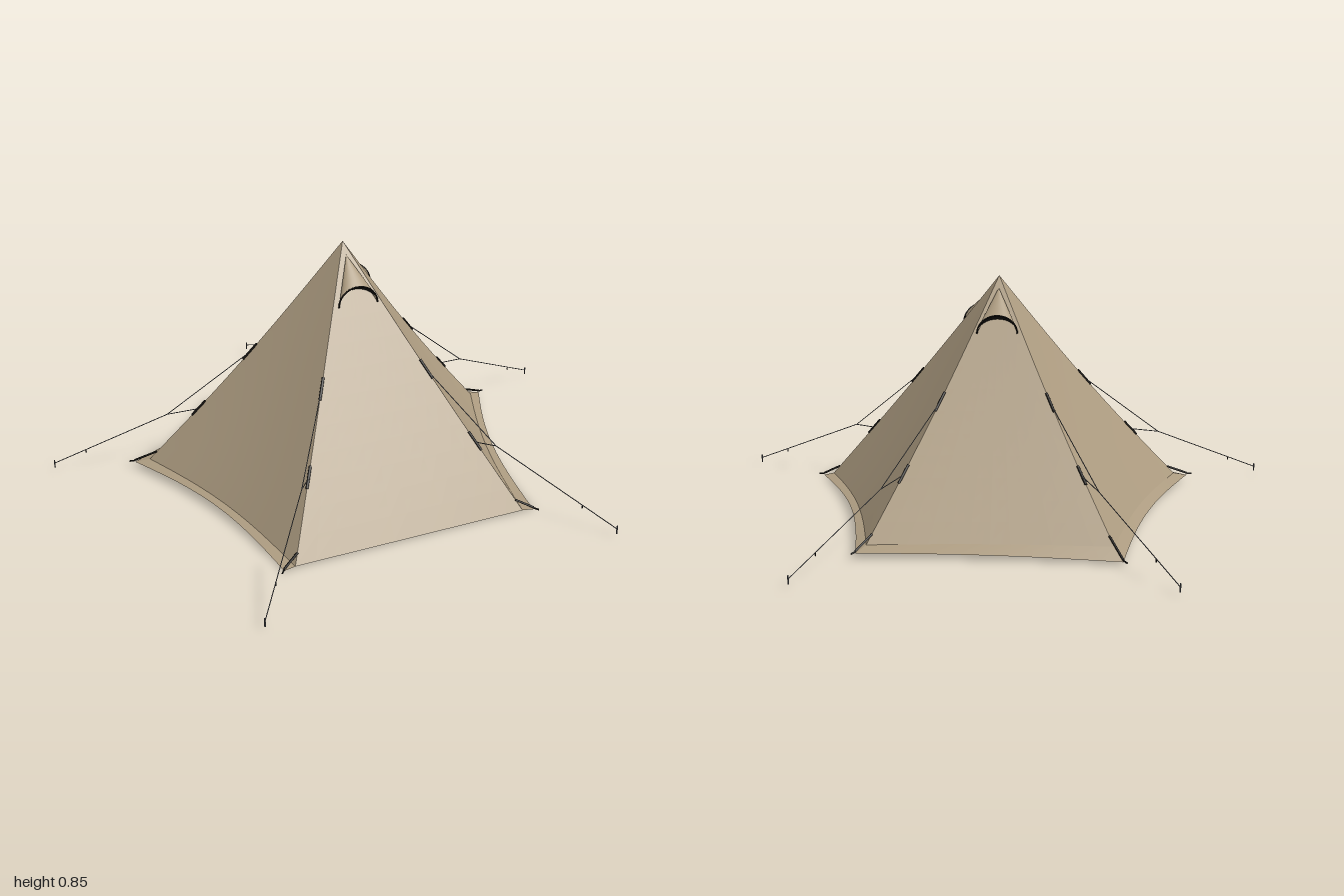
import * as THREE from 'three';

const V = (x, y, z) => new THREE.Vector3(x, y, z);

export function createModel() {
  const tent = new THREE.Group();
  tent.name = 'tent';

  const mat = (name, color, side = THREE.FrontSide) => {
    const m = new THREE.MeshStandardMaterial({ color, side });
    m.name = name;
    return m;
  };
  const canvas = mat('taupe canvas', 0xac9b80, THREE.DoubleSide);
  const lining = mat('brown lining', 0x8a572b);
  const black = mat('black trim', 0x14120f, THREE.DoubleSide);
  const cord = mat('grey cord', 0x5a5c60);

  const add = (name, geometry, material, parent = tent) => {
    const mesh = new THREE.Mesh(geometry, material);
    mesh.name = name;
    parent.add(mesh);
    return mesh;
  };

  // Smooth grid surface: f(u, v) with u left to right and v top to bottom
  const surface = (f, nu, nv, flip = false) => {
    const pos = [], idx = [];
    for (let j = 0; j <= nv; j++)
      for (let i = 0; i <= nu; i++) pos.push(...f(i / nu, j / nv).toArray());
    for (let j = 0; j < nv; j++)
      for (let i = 0; i < nu; i++) {
        const a = j * (nu + 1) + i, b = a + 1, c = a + nu + 1, d = c + 1;
        if (flip) idx.push(a, b, c, b, d, c);
        else idx.push(a, c, b, b, c, d);
      }
    const g = new THREE.BufferGeometry();
    g.setAttribute('position', new THREE.Float32BufferAttribute(pos, 3));
    g.setIndex(idx);
    g.computeVertexNormals();
    return g;
  };

  // Straight rod between two points
  const rod = (name, a, b, r, material, parent = tent) => {
    const dir = b.clone().sub(a);
    const mesh = add(name, new THREE.CylinderGeometry(r, r, dir.length(), 6), material, parent);
    mesh.position.copy(a).lerp(b, 0.5);
    mesh.quaternion.setFromUnitVectors(V(0, 1, 0), dir.normalize());
    return mesh;
  };

  // Five corners: foot of the wall, tip of the skirt, ridge sag, guy knot and peg
  const apex = V(0, 0.85, 0.1);
  const right = [
    { foot: V(0.42, 0.003, 0.685), tip: V(0.46, 0, 0.69), sag: 0.01, knot: V(0.357, 0.22, 0.59), peg: V(0.62, 0.03, 0.945) },
    { foot: V(0.67, 0.032, -0.12), tip: V(0.72, 0.02, -0.14), sag: 0.022, knot: V(0.6, 0.21, -0.1), peg: V(0.995, 0.03, -0.23) },
  ];
  const back = { foot: V(0, 0.045, -0.61), tip: V(0, 0.008, -0.66), sag: 0.025, knot: V(0, 0.21, -0.52), peg: V(0, 0.03, -0.945) };
  const flipX = (p) => V(-p.x, p.y, p.z);
  const mirror = (c) => ({ foot: flipX(c.foot), tip: flipX(c.tip), sag: c.sag, knot: flipX(c.knot), peg: flipX(c.peg) });
  const corners = [...right, back, mirror(right[1]), mirror(right[0])];
  const bows = [0.045, 0.012, 0.035, 0.045, 0];
  const panelNames = ['leftWall', 'backLeftWall', 'backRightWall', 'rightWall', 'frontWall'];

  const ridge = (c, t) => {
    const p = apex.clone().lerp(c.foot, t);
    p.y -= c.sag * Math.sin(Math.PI * t);
    return p;
  };

  // Wall panels with brown lining and a flared skirt
  corners.forEach((a, i) => {
    const b = corners[(i + 1) % 5];
    const edge = b.foot.clone().sub(a.foot).setY(0).normalize();
    const inward = V(-edge.z, 0, edge.x);
    if (inward.dot(a.foot) > 0) inward.negate();
    const bend = (p, u, amount) => {
      const k = Math.sin(Math.PI * u) * amount;
      p.addScaledVector(inward, k);
      p.y += k * 0.25;
      return p;
    };
    const wall = (u, v) => bend(ridge(a, v).lerp(ridge(b, v), u), u, bows[i] * 0.7 * v * v);
    add(panelNames[i], surface(wall, 12, 12), canvas);
    const inside = (u, v) => wall(u, v).addScaledVector(inward, 0.005).add(V(0, -0.004, 0));
    add(panelNames[i] + 'Lining', surface(inside, 12, 12, true), lining);

    if (i < 4) {
      const hem = (u) => bend(a.tip.clone().lerp(b.tip, u), u, bows[i]);
      add(panelNames[i] + 'Skirt', surface((u, v) => wall(u, 1).lerp(hem(u), v), 12, 1), canvas);
    }
  });

  // Scoop vent near the top of a panel
  const addVent = (a, b, name) => {
    const vent = new THREE.Group();
    vent.name = name;
    tent.add(vent);
    const down = a.foot.clone().lerp(b.foot, 0.5).sub(apex).normalize();
    const across = b.foot.clone().sub(a.foot).normalize();
    const out = down.clone().cross(across).normalize();
    const local = (x, s, n) => apex.clone().addScaledVector(across, x).addScaledVector(down, s).addScaledVector(out, n);
    const arch = (u) => {
      const q = Math.PI * (1 - u);
      return local(0.072 * Math.cos(q), 0.175 + 0.055 * (1 - Math.sin(q)), 0.004 + 0.032 * Math.sin(q));
    };
    const top = local(0, 0.05, 0.002);
    add('ventHood', surface((u, v) => top.clone().lerp(arch(u), v), 16, 4), canvas, vent);
    const curve = new THREE.CatmullRomCurve3(Array.from({ length: 13 }, (_, k) => arch(k / 12)));
    add('ventRim', new THREE.TubeGeometry(curve, 24, 0.003, 5), black, vent);
    // Dark mesh set back inside the opening
    const meshEdge = (u) => arch(u).addScaledVector(out, -0.03 * Math.sin(Math.PI * u));
    add('ventMesh', surface((u, v) => arch(u).lerp(meshEdge(u), v), 16, 1), black, vent);
  };
  addVent(corners[4], corners[0], 'frontVent');
  addVent(corners[1], corners[2], 'backVent');

  // Centre pole
  rod('centrePole', V(0, 0, 0.1), V(0, 0.84, 0.1), 0.007, black);

  // Ridge patches, guy lines, pegs and corner straps
  corners.forEach((c) => {
    const guy = new THREE.Group();
    guy.name = 'guyLine';
    tent.add(guy);
    for (const t of [0.47, 0.74]) {
      rod('ridgePatch', ridge(c, t - 0.04), ridge(c, t + 0.03), 0.005, black, guy);
      rod('branchCord', ridge(c, t), c.knot, 0.0016, cord, guy);
    }
    rod('mainCord', c.knot, c.peg, 0.0016, cord, guy);
    const slider = c.knot.clone().lerp(c.peg, 0.72);
    rod('slider', slider, slider.clone().add(V(0, -0.012, 0)), 0.002, black, guy);
    rod('peg', c.peg.clone().setY(0.012), c.peg.clone().setY(0.042), 0.0025, cord, guy);

    const outDir = c.tip.clone().sub(apex).setY(0).normalize();
    rod('cornerStrap', ridge(c, 0.96), c.tip.clone().add(V(0, 0.008, 0)), 0.004, black, guy);
    rod('cornerLoop', c.tip.clone().add(V(0, 0.006, 0)),
      c.tip.clone().addScaledVector(outDir, 0.02).add(V(0, 0.004, 0)), 0.003, black, guy);
  });

  return tent;
}
